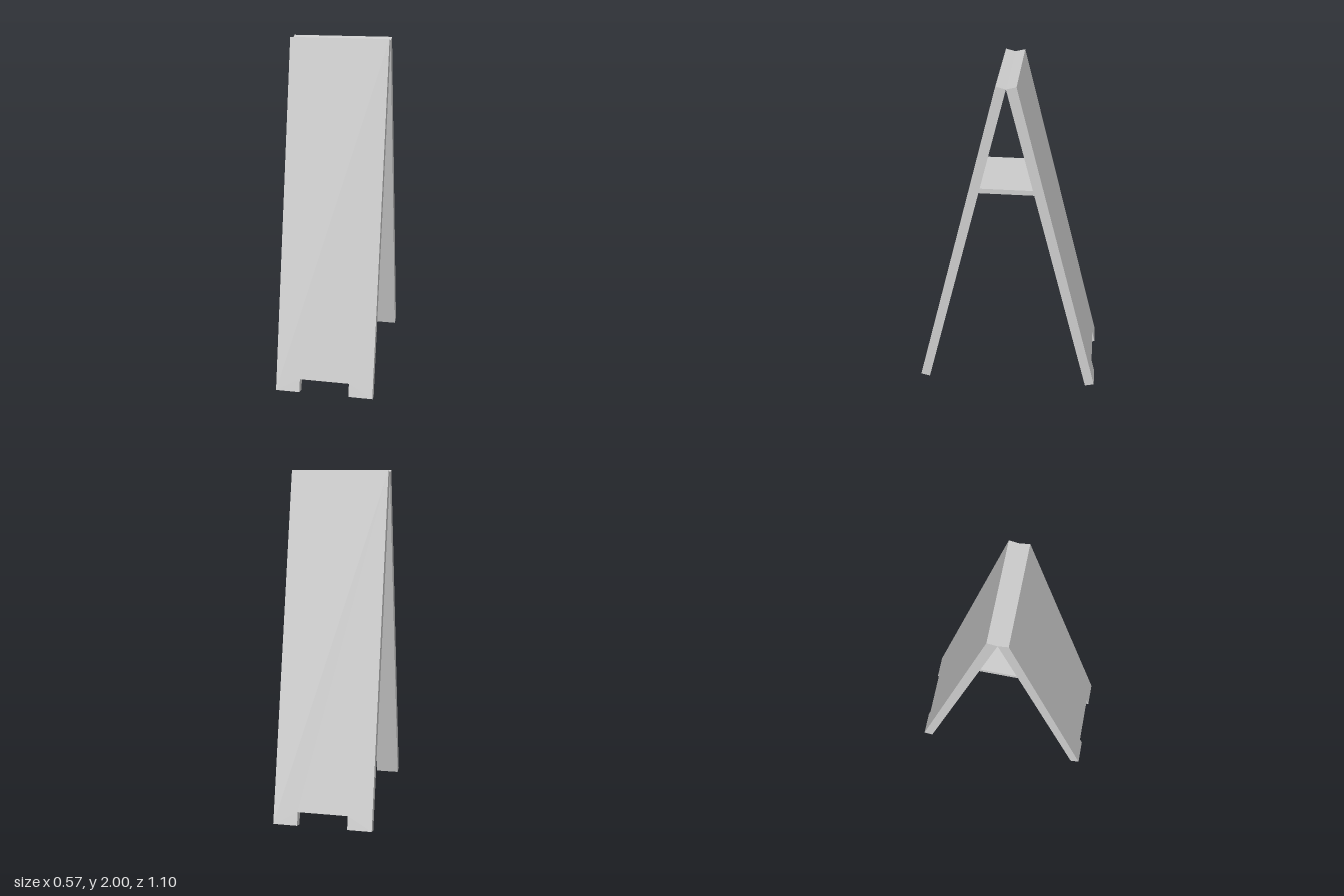
import * as THREE from 'three';

const HALF_WIDTH = 0.285;
const LENGTH = 2.048;
const THICKNESS = 0.057;
const NOTCH_HALF = 0.145;
const NOTCH_HEIGHT = 0.077;
const TILT = Math.atan2(0.497, 1.987);
const HINGE_Y = 1.986;

// Board outline hanging down from the hinge line, with a notch that leaves two feet
function panelGeometry() {
  const foot = -LENGTH;
  const shape = new THREE.Shape([
    [-HALF_WIDTH, foot],
    [-NOTCH_HALF, foot],
    [-NOTCH_HALF, foot + NOTCH_HEIGHT],
    [NOTCH_HALF, foot + NOTCH_HEIGHT],
    [NOTCH_HALF, foot],
    [HALF_WIDTH, foot],
    [HALF_WIDTH, 0],
    [-HALF_WIDTH, 0],
  ].map(([x, y]) => new THREE.Vector2(x, y)));
  return new THREE.ExtrudeGeometry(shape, { depth: THICKNESS, bevelEnabled: false });
}

export function createModel() {
  const model = new THREE.Group();
  model.name = 'foldingSignStand';
  const material = new THREE.MeshStandardMaterial({ color: 0xcccccc, flatShading: true });

  // Two leaning boards that meet along the hinge line at the top
  const geometry = panelGeometry();
  for (const [name, turn] of [['frontPanel', 0], ['backPanel', Math.PI]]) {
    const side = new THREE.Group();
    side.name = name;
    side.rotation.y = turn;
    const panel = new THREE.Mesh(geometry, material);
    panel.name = name + 'Board';
    panel.position.y = HINGE_Y;
    panel.rotation.x = -TILT;
    side.add(panel);
    model.add(side);
  }

  // Spreader shelf set slightly into both boards
  const shelf = new THREE.Mesh(new THREE.BoxGeometry(0.4, 0.03, 0.346), material);
  shelf.name = 'spreaderShelf';
  shelf.position.y = 1.33;
  model.add(shelf);

  return model;
}
